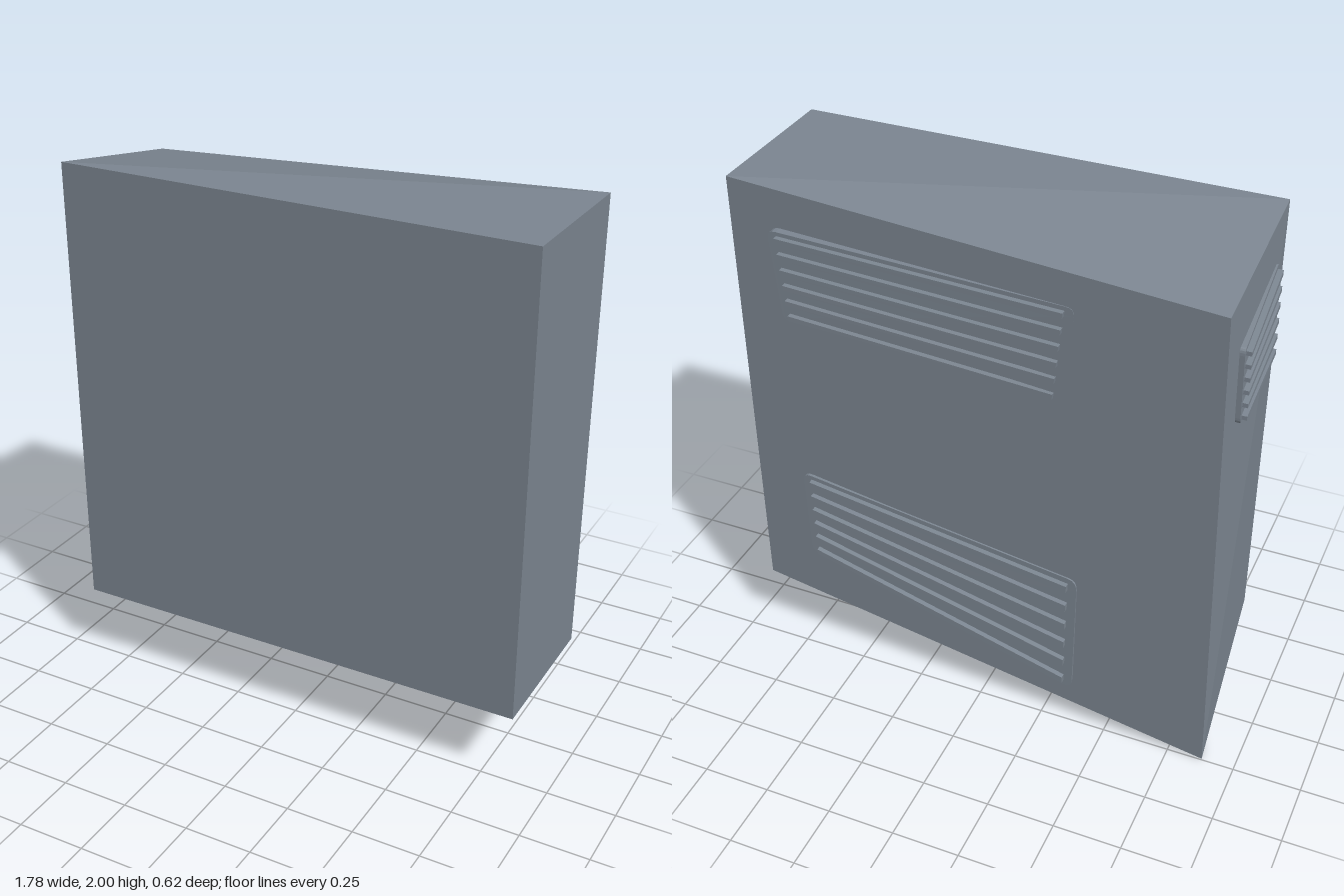
import * as THREE from 'three';
import { ConvexGeometry } from 'three/addons/geometries/ConvexGeometry.js';

const material = new THREE.MeshStandardMaterial({ color: 0x7c8691, flatShading: true });
const v = (x, y, z) => new THREE.Vector3(x, y, z);

// Bends a geometry from unit (s, t, depth) space onto a four-cornered patch.
function mapToPatch(geometry, [bl, br, tr, tl], normal) {
  const pos = geometry.attributes.position;
  for (let i = 0; i < pos.count; i++) {
    const s = pos.getX(i), t = pos.getY(i), d = pos.getZ(i);
    const p = bl.clone().lerp(br, s).lerp(tl.clone().lerp(tr, s), t).addScaledVector(normal, d);
    pos.setXYZ(i, p.x, p.y, p.z);
  }
  geometry.computeVertexNormals();
  return geometry;
}

// Unit square with small rounded corners
function roundedSquare(rx, ry) {
  const shape = new THREE.Shape();
  shape.moveTo(rx, 0);
  shape.lineTo(1 - rx, 0);
  shape.quadraticCurveTo(1, 0, 1, ry);
  shape.lineTo(1, 1 - ry);
  shape.quadraticCurveTo(1, 1, 1 - rx, 1);
  shape.lineTo(rx, 1);
  shape.quadraticCurveTo(0, 1, 0, 1 - ry);
  shape.lineTo(0, ry);
  shape.quadraticCurveTo(0, 0, rx, 0);
  return shape;
}

// Thin backing plate with a row of raised slats
function makeVent(name, corners, normal, count) {
  const vent = new THREE.Group();
  vent.name = name;
  const plateGeo = new THREE.ExtrudeGeometry(roundedSquare(0.03, 0.08), {
    depth: 0.04, bevelEnabled: false, curveSegments: 4,
  });
  plateGeo.translate(0, 0, -0.04);
  const plate = new THREE.Mesh(mapToPatch(plateGeo, corners, normal), material);
  plate.name = 'ventPlate';
  vent.add(plate);
  for (let i = 0; i < count; i++) {
    const geo = new THREE.BoxGeometry(0.94, 0.055, 0.038);
    geo.translate(0.5, 0.07 + 0.86 * i / (count - 1), 0);
    const slat = new THREE.Mesh(mapToPatch(geo, corners, normal), material);
    slat.name = 'ventSlat';
    vent.add(slat);
  }
  return vent;
}

export function createModel() {
  const model = new THREE.Group();
  model.name = 'ventedCabinet';

  // Skewed slab with one low rear corner
  const body = new THREE.Mesh(new ConvexGeometry([
    v(-0.85, 0.31, 0.31), v(0.88, 0.31, 0.31), v(0.88, 0.31, -0.245), v(-0.88, 0, -0.245),
    v(-0.85, 2, 0.31), v(0.88, 2, 0.31), v(0.885, 2, -0.258), v(-0.845, 1.89, -0.285),
  ]), material);
  body.name = 'body';
  model.add(body);

  // Vents on the rear and right faces; corners run bottom-left, bottom-right, top-right, top-left
  const back = v(0, 0, -1), side = v(-1, 0, 0);
  model.add(makeVent('upperRearVent', [
    v(0.70, 1.51, -0.282), v(-0.31, 1.43, -0.266), v(-0.35, 1.80, -0.278), v(0.73, 1.85, -0.288),
  ], back, 6));
  model.add(makeVent('lowerRearVent', [
    v(0.68, 0.49, -0.262), v(-0.37, 0.17, -0.258), v(-0.38, 0.69, -0.264), v(0.69, 0.85, -0.264),
  ], back, 6));
  model.add(makeVent('sideVent', [
    v(-0.873, 1.43, -0.155), v(-0.864, 1.47, 0.22), v(-0.858, 1.82, 0.22), v(-0.868, 1.71, -0.16),
  ], side, 6));

  return model;
}
